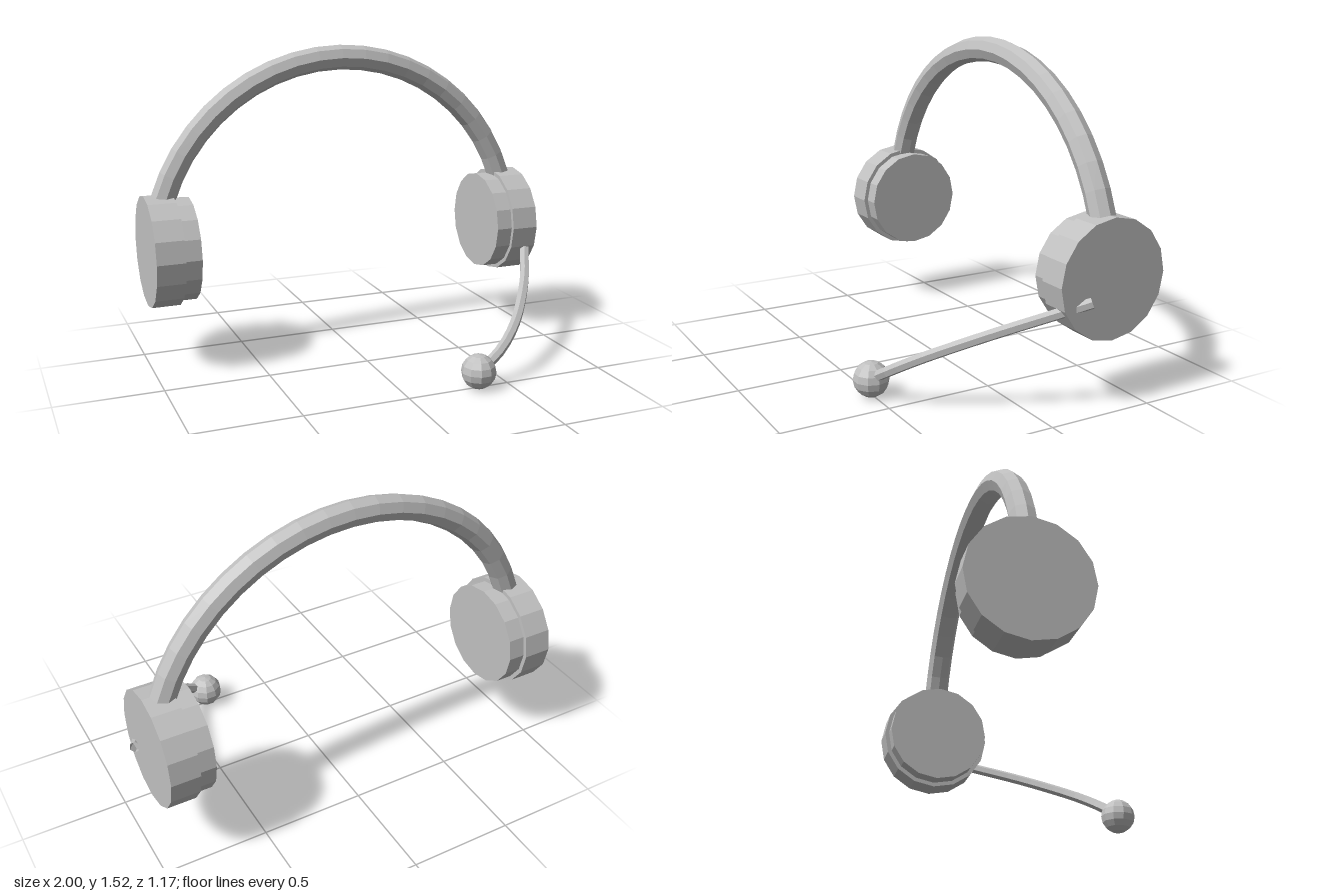
import * as THREE from 'three';

export function createModel() {
  const grey = new THREE.MeshStandardMaterial({ color: 0xc0c0c0, flatShading: true, side: THREE.DoubleSide });
  grey.name = 'light grey';
  const model = new THREE.Group();
  model.name = 'headset';

  const add = (name, geometry, parent = model) => {
    const mesh = new THREE.Mesh(geometry, grey);
    mesh.name = name;
    parent.add(mesh);
    return mesh;
  };

  // Headphones, slightly off centre because the boom sticks out on one side
  const headphones = new THREE.Group();
  headphones.name = 'headphones';
  headphones.position.set(-0.0175, 0, -0.32);
  model.add(headphones);

  // Ear cups with smaller inner pads
  for (const [side, s] of [['left', 1], ['right', -1]]) {
    const cup = add(side + 'EarCup', new THREE.CylinderGeometry(0.268, 0.268, 0.135, 16).rotateZ(Math.PI / 2), headphones);
    cup.position.set(s * 0.915, 0.578, 0);
    const pad = add(side + 'EarPad', new THREE.CylinderGeometry(0.248, 0.248, 0.081, 16).rotateZ(Math.PI / 2), headphones);
    pad.position.set(s * 0.808, 0.578, 0);
  }

  // Headband: circular arc ending just inside the cups
  const radius = 0.941, centreY = 0.519, start = 0.325;
  const arc = [];
  for (let i = 0; i <= 20; i++) {
    const a = start + (Math.PI - 2 * start) * i / 20;
    arc.push(new THREE.Vector3(radius * Math.cos(a), centreY + radius * Math.sin(a), 0));
  }
  add('headband', new THREE.TubeGeometry(new THREE.CatmullRomCurve3(arc), 20, 0.06, 8), headphones);

  // Microphone boom, curving forward from the left cup
  const boom = new THREE.CatmullRomCurve3([
    [0.98, 0.5, -0.2], [0.9, 0.446, -0.06], [0.8, 0.379, 0.12], [0.7, 0.312, 0.265],
    [0.6, 0.245, 0.385], [0.5, 0.178, 0.465], [0.42, 0.127, 0.5], [0.345, 0.085, 0.508],
  ].map(p => new THREE.Vector3(...p)));
  add('microphoneBoom', new THREE.TubeGeometry(boom, 16, 0.025, 6));

  // Microphone ball
  add('microphone', new THREE.SphereGeometry(0.082, 10, 8)).position.set(0.345, 0.083, 0.508);

  return model;
}
